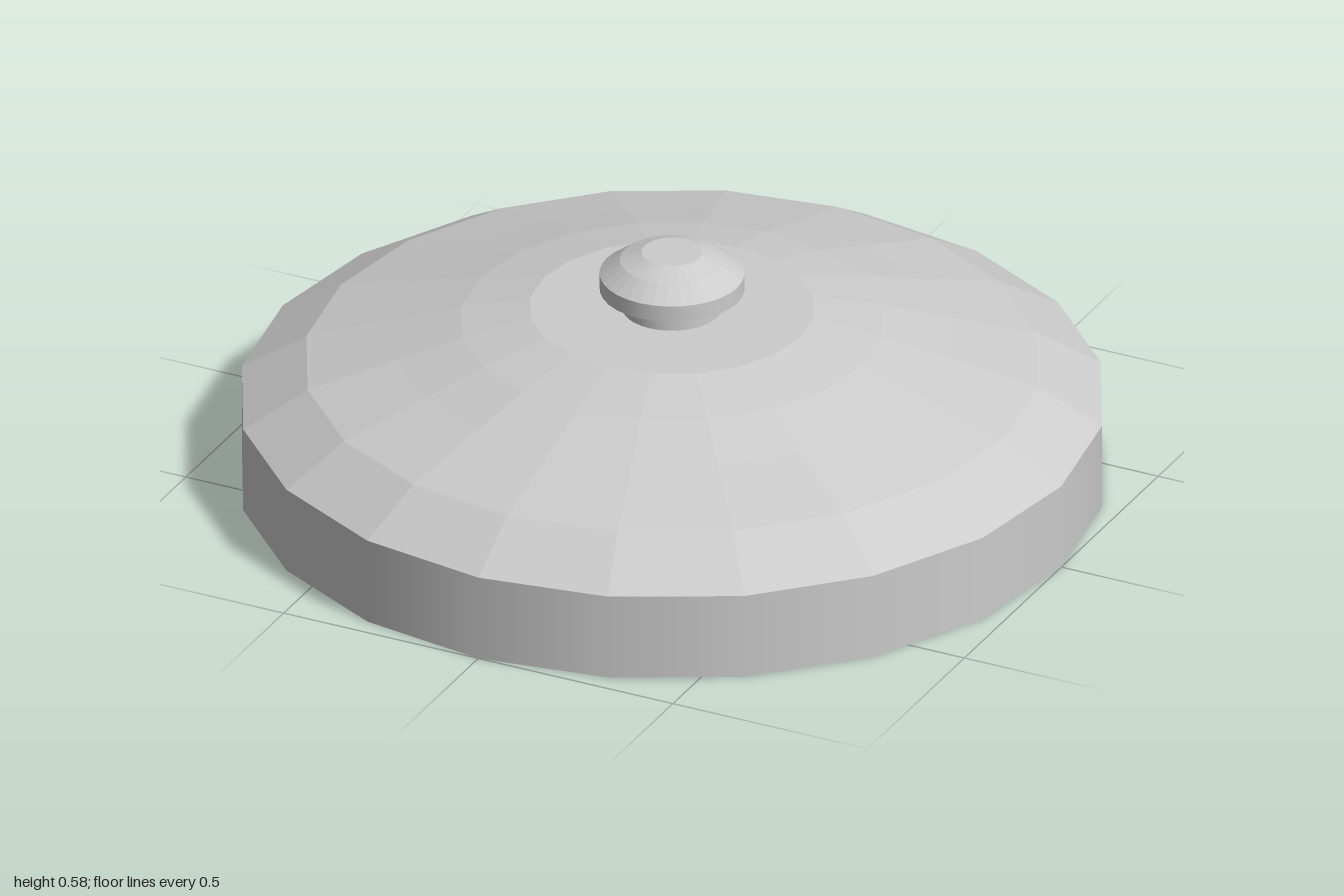
import * as THREE from 'three';

const smooth = new THREE.MeshStandardMaterial({ color: 0xcccccc });
const faceted = new THREE.MeshStandardMaterial({ color: 0xcccccc, flatShading: true });

// Turns a profile of [radius, height] points, listed from bottom to top
function turned(name, profile, sides, material) {
  const points = profile.map(([r, y]) => new THREE.Vector2(r, y));
  const mesh = new THREE.Mesh(new THREE.LatheGeometry(points, sides), material);
  mesh.name = name;
  return mesh;
}

export function createModel() {
  const lid = new THREE.Group();
  lid.name = 'lid';

  // Body: closed base, upright rim and stepped dome with a flat top
  lid.add(
    turned('base', [[0, 0], [1, 0]], 20, faceted),
    turned('rim', [[1, 0], [1, 0.21]], 20, smooth),
    turned('dome', [[1, 0.21], [0.85, 0.3], [0.64, 0.36], [0.49, 0.405], [0.33, 0.44], [0, 0.44]], 20, faceted),
  );

  // Knob: narrow neck under a wider rounded cap
  const knob = new THREE.Group();
  knob.name = 'knob';
  knob.add(
    turned('neck', [[0.115, 0.44], [0.115, 0.49]], 32, smooth),
    turned('capUnderside', [[0.115, 0.49], [0.167, 0.49]], 32, faceted),
    turned('capEdge', [[0.167, 0.49], [0.167, 0.53]], 32, smooth),
    turned('capTop', [[0.167, 0.53], [0.12, 0.565], [0.07, 0.585], [0, 0.585]], 32, faceted),
  );
  lid.add(knob);
  return lid;
}
